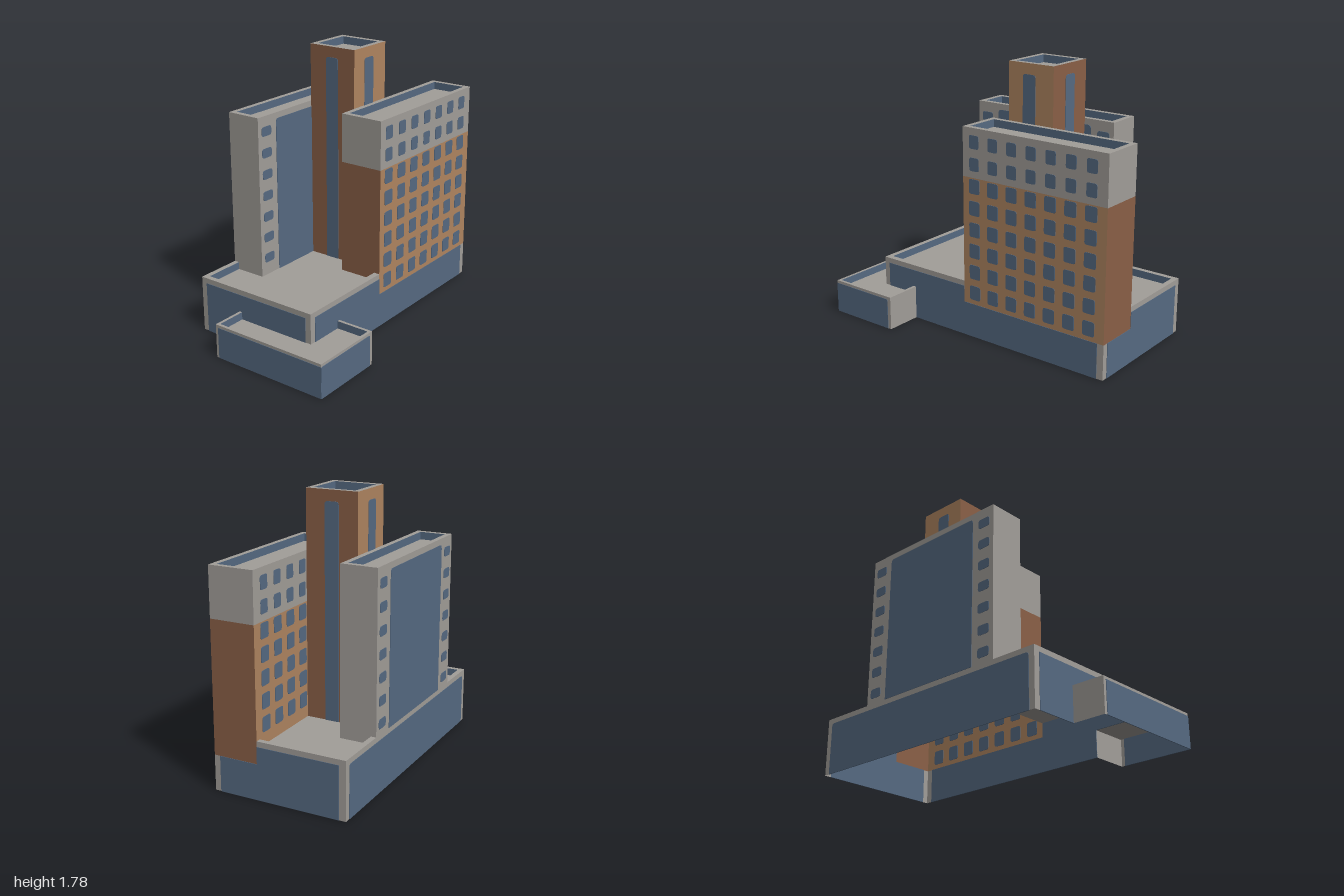
import * as THREE from 'three';

const material = (name, color) => {
  const m = new THREE.MeshStandardMaterial({ color, side: THREE.DoubleSide });
  m.name = name;
  return m;
};

export function createModel() {
  const concrete = material('concrete', 0xa29e99);
  const glass = material('blueGlass', 0x566a82);
  const brick = material('lightBrick', 0xb08560);
  const darkBrick = material('darkBrick', 0x8b6047);
  const model = new THREE.Group();
  model.name = 'officeBlock';
  let part;
  const begin = (name) => {
    part = new THREE.Group();
    part.name = name;
    model.add(part);
  };
  const add = (name, geometry, mat) => {
    const mesh = new THREE.Mesh(geometry, mat);
    mesh.name = name;
    part.add(mesh);
    return mesh;
  };

  // Upright sheet on the plane axis = at, spanning u0..u1 and y0..y1
  const orient = (mesh, axis, at) => {
    if (axis === 'x') mesh.rotation.y = -Math.PI / 2;
    mesh.position[axis] = at;
  };
  const wall = (name, mat, axis, at, u0, u1, y0, y1) => {
    const g = new THREE.PlaneGeometry(u1 - u0, y1 - y0).translate((u0 + u1) / 2, (y0 + y1) / 2, 0);
    orient(add(name, g, mat), axis, at);
  };

  // Thin glazing plate set through a wall, with optional rounded corners
  const pane = (name, axis, at, u0, u1, y0, y1, r = 0, rBottom = r) => {
    const s = new THREE.Shape();
    s.moveTo(u0 + rBottom, y0).lineTo(u1 - rBottom, y0).quadraticCurveTo(u1, y0, u1, y0 + rBottom);
    s.lineTo(u1, y1 - r).quadraticCurveTo(u1, y1, u1 - r, y1);
    s.lineTo(u0 + r, y1).quadraticCurveTo(u0, y1, u0, y1 - r);
    s.lineTo(u0, y0 + rBottom).quadraticCurveTo(u0, y0, u0 + rBottom, y0);
    const g = new THREE.ExtrudeGeometry(s, { depth: 0.006, bevelEnabled: false, curveSegments: 3 });
    orient(add(name, g.translate(0, 0, -0.003), glass), axis, at);
  };

  // Level sheet from an x,z outline
  const level = (name, y, points) => {
    const shape = new THREE.Shape(points.map(([x, z]) => new THREE.Vector2(x, z)));
    const mesh = add(name, new THREE.ShapeGeometry(shape), concrete);
    mesh.rotation.x = Math.PI / 2;
    mesh.position.y = y;
  };
  const rect = (x0, x1, z0, z1) => [[x0, z0], [x1, z0], [x1, z1], [x0, z1]];

  // Parapet run along one side: concrete cap and glazed inner face
  const DEPTH = 0.05;
  const parapet = (axis, outer, inner, a, b, y) => {
    const lo = Math.min(outer, inner), hi = Math.max(outer, inner);
    level('parapetCap', y, axis === 'x' ? rect(lo, hi, a, b) : rect(a, b, lo, hi));
    wall('parapetInside', glass, axis, inner, a, b, y - DEPTH, y);
  };
  const flatRoof = (x0, x1, z0, z1, y, t = 0.035) => {
    level('roof', y - DEPTH, rect(x0, x1, z0, z1));
    parapet('x', x0, x0 + t, z0, z1, y);
    parapet('x', x1, x1 - t, z0, z1, y);
    parapet('z', z0, z0 + t, x0, x1, y);
    parapet('z', z1, z1 - t, x0, x1, y);
  };

  const P = 0.375, F = P - DEPTH, T = 1.4, L = 0.23, A = 0.225;

  // Podium, open underneath
  begin('podium');
  wall('frontWallLow', concrete, 'z', 0.32, -0.07, 1, 0, L);
  wall('frontWall', concrete, 'z', 0.32, -0.5, -0.07, 0, P);
  wall('frontWallOverAnnex', concrete, 'z', 0.32, -0.78, -0.5, A - DEPTH, P);
  pane('frontGlazing', 'z', 0.32, -0.07, 0.955, 0, L);
  pane('frontGlazing', 'z', 0.32, -0.5, -0.07, 0, 0.34);
  pane('frontGlazing', 'z', 0.32, -0.74, -0.5, A - DEPTH, 0.34);
  wall('backWall', concrete, 'z', -0.57, -0.78, 1, 0, P);
  pane('backGlazing', 'z', -0.57, -0.74, 0.96, 0, 0.34, 0.02, 0);
  wall('leftWall', concrete, 'x', 1, -0.57, 0.02, 0, P);
  wall('leftWallLow', concrete, 'x', 1, 0.02, 0.32, 0, L);
  pane('leftGlazing', 'x', 1, -0.525, 0.02, 0, 0.34);
  pane('leftGlazing', 'x', 1, 0.02, 0.28, 0, L);
  wall('rightWall', concrete, 'x', -0.78, -0.57, -0.25, 0, P);
  wall('rightWallOverAnnex', concrete, 'x', -0.78, -0.25, 0.32, A - DEPTH, P);
  pane('rightGlazing', 'x', -0.78, -0.53, -0.25, 0, 0.34);
  pane('rightGlazing', 'x', -0.78, -0.25, 0.28, A - DEPTH, 0.34);
  level('roofRight', F, [[-0.78, -0.57], [-0.47, -0.57], [-0.47, -0.33], [0.06, -0.33],
    [0.06, 0.02], [-0.07, 0.02], [-0.07, 0.32], [-0.78, 0.32]]);
  level('roofLeft', F, [[0.62, -0.57], [1, -0.57], [1, 0.02], [0.4, 0.02], [0.4, -0.33], [0.62, -0.33]]);
  parapet('z', 0.32, 0.28, -0.78, -0.07, P);
  parapet('z', -0.57, -0.535, -0.78, -0.47, P);
  parapet('z', -0.57, -0.535, 0.62, 1, P);
  parapet('x', -0.78, -0.745, -0.57, 0.32, P);
  parapet('x', 1, 0.965, -0.57, 0.02, P);

  // Low annex wrapped round the podium corner
  begin('annex');
  wall('frontWall', concrete, 'z', 0.57, -1, -0.5, 0, A);
  pane('frontGlazing', 'z', 0.57, -1, -0.525, 0, 0.207, 0.01, 0);
  wall('rightWall', concrete, 'x', -1, -0.25, 0.57, 0, A);
  pane('rightGlazing', 'x', -1, -0.23, 0.57, 0, 0.207);
  wall('leftWall', concrete, 'x', -0.5, 0.32, 0.57, 0, A);
  wall('backWall', concrete, 'z', -0.25, -1, -0.78, 0, A);
  level('roof', A - DEPTH, [[-1, -0.25], [-0.78, -0.25], [-0.78, 0.32], [-0.5, 0.32], [-0.5, 0.57], [-1, 0.57]]);
  parapet('x', -1, -0.98, -0.25, 0.57, A);
  parapet('x', -0.5, -0.52, 0.32, 0.57, A);
  parapet('z', 0.57, 0.55, -1, -0.5, A);
  parapet('z', -0.25, -0.23, -1, -0.78, A);

  // Front tower: brick below, concrete for the top two floors
  begin('frontTower');
  const BAND = 1.08;
  for (const [name, axis, at, u0, u1, y0, mat] of [
    ['frontWall', 'z', 0.32, -0.07, 1, L, brick], ['backWall', 'z', 0.02, -0.07, 1, F, brick],
    ['leftWall', 'x', 1, 0.02, 0.32, L, darkBrick], ['rightWall', 'x', -0.07, 0.02, 0.32, F, darkBrick],
  ]) {
    wall(name, mat, axis, at, u0, u1, y0, BAND);
    wall(name + 'Top', concrete, axis, at, u0, u1, BAND, T);
  }
  for (let row = 0; row < 8; row++) {
    for (let col = 0; col < 7; col++) {
      const x = 0.02 + col * 0.145, y = 1.31 - row * 0.143;
      const w = row < 2 ? 0.037 : 0.042, h = row < 2 ? 0.043 : 0.048;
      pane('frontWindow', 'z', 0.32, x - w, x + w, y - h, y + h, 0.015);
      const behindCore = x > 0.06 && x < 0.4;
      if (row < 7 && !behindCore) pane('backWindow', 'z', 0.02, x - w, x + w, y - h, y + h, 0.015);
    }
  }
  flatRoof(-0.07, 1, 0.02, 0.32, T);

  // Back tower: large glazed panel between two columns of windows
  begin('backTower');
  wall('leftWall', concrete, 'x', 0.62, -0.57, -0.33, F, T);
  wall('rightWall', concrete, 'x', -0.47, -0.57, -0.33, F, T);
  for (const [side, z, y0] of [['front', -0.33, F], ['back', -0.57, P]]) {
    wall(side + 'Wall', concrete, 'z', z, -0.47, 0.62, y0, T);
    pane(side + 'Panel', 'z', z, -0.3, 0.45, y0, 1.36, 0.025, 0);
    for (const x of [-0.393, 0.543]) {
      for (let row = 0; row < 7; row++) {
        const y = 1.3 - row * 0.143;
        pane(side + 'Window', 'z', z, x - 0.045, x + 0.045, y - 0.031, y + 0.031, 0.018);
      }
    }
  }
  flatRoof(-0.47, 0.62, -0.57, -0.33, T);

  // Tall core between the towers, with a glazed strip on every side
  begin('core');
  const H = 1.78;
  for (const [side, z] of [['front', 0.02], ['back', -0.33]]) {
    wall(side + 'Wall', brick, 'z', z, 0.06, 0.4, T, H);
    pane(side + 'Strip', 'z', z, 0.17, 0.265, T, 1.71, 0.02, 0);
  }
  for (const [side, x] of [['left', 0.4], ['right', 0.06]]) {
    wall(side + 'Wall', darkBrick, 'x', x, -0.33, 0.02, F, H);
    pane(side + 'Strip', 'x', x, -0.203, -0.108, F, 1.71, 0.02, 0);
  }
  flatRoof(0.06, 0.4, -0.33, 0.02, H);

  return model;
}
